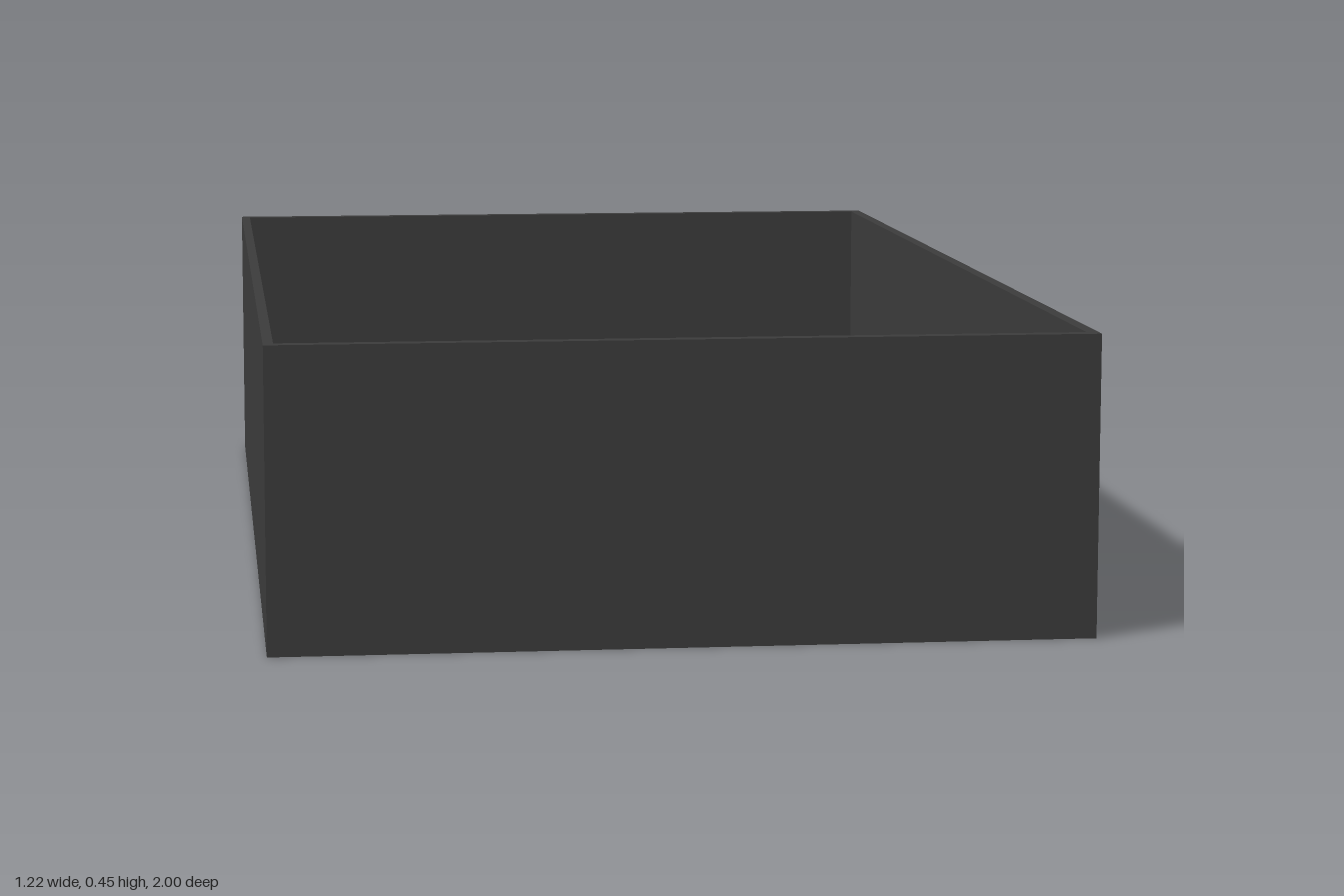
import * as THREE from 'three';

const material = new THREE.MeshStandardMaterial({ color: 0x3c3c3c, flatShading: true });

// Rectangular moulding on the +x face: profile is a list of [inset, x] from outer to inner edge
function moulding(name, halfZ, y0, y1, profile) {
  const loops = profile.map(([inset, x]) => {
    const z = halfZ - inset, a = y0 + inset, b = y1 - inset;
    return [[x, a, z], [x, a, -z], [x, b, -z], [x, b, z]];
  });
  const pos = [];
  for (let k = 0; k < loops.length - 1; k++) {
    for (let i = 0; i < 4; i++) {
      const j = (i + 1) % 4, p = loops[k], q = loops[k + 1];
      pos.push(...p[i], ...p[j], ...q[j], ...p[i], ...q[j], ...q[i]);
    }
  }
  const geo = new THREE.BufferGeometry();
  geo.setAttribute('position', new THREE.Float32BufferAttribute(pos, 3));
  geo.computeVertexNormals();
  const mesh = new THREE.Mesh(geo, material);
  mesh.name = name;
  return mesh;
}

function rectangle(Path, x0, x1, z) {
  const p = new Path();
  p.moveTo(x0, -z).lineTo(x1, -z).lineTo(x1, z).lineTo(x0, z).closePath();
  return p;
}

export function createModel() {
  const group = new THREE.Group();
  group.name = 'drawer';
  const left = -0.612, face = 0.6, height = 0.45, floorTop = 0.013;

  // Four thin walls around the open tray
  const outline = rectangle(THREE.Shape, left, face, 1);
  outline.holes.push(rectangle(THREE.Path, left + 0.015, face - 0.018, 0.978));
  const wallGeo = new THREE.ExtrudeGeometry(outline, { depth: height, bevelEnabled: false });
  wallGeo.rotateX(-Math.PI / 2);
  const walls = new THREE.Mesh(wallGeo, material);
  walls.name = 'walls';
  group.add(walls);

  // Bottom board fitted between the walls
  const floor = new THREE.Mesh(new THREE.BoxGeometry(face - left - 0.033, floorTop, 1.956), material);
  floor.position.set((left + 0.015 + face - 0.018) / 2, floorTop / 2, 0);
  floor.name = 'bottomBoard';
  group.add(floor);

  // Raised frame and slim inner bead on the drawer face
  group.add(moulding('outerMoulding', 0.957, 0.033, 0.417, [
    [0, face], [0, face + 0.006], [0.004, face + 0.01], [0.012, face + 0.012],
    [0.022, face + 0.011], [0.036, face + 0.007], [0.048, face + 0.005], [0.053, face + 0.004], [0.053, face],
  ]));
  group.add(moulding('innerBead', 0.872, 0.125, 0.323, [
    [0, face], [0.003, face + 0.004], [0.009, face + 0.006],
    [0.016, face + 0.006], [0.022, face + 0.004], [0.025, face],
  ]));
  return group;
}
